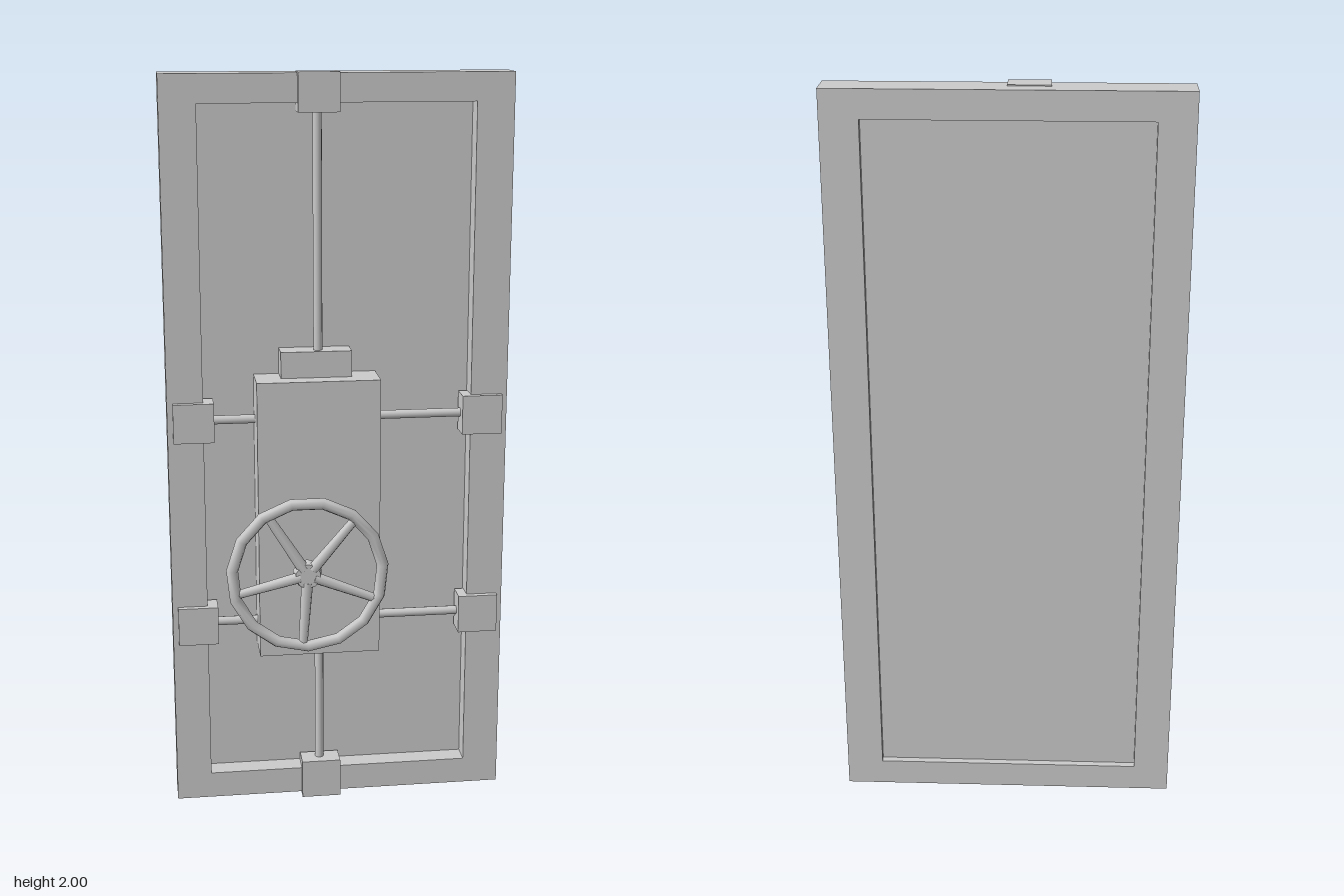
import * as THREE from 'three';

const mat = new THREE.MeshStandardMaterial({ color: 0xcccccc });

export function createModel() {
  const door = new THREE.Group();
  door.name = 'vaultDoor';

  const add = (name, geo, parent = door) => {
    const m = new THREE.Mesh(geo, mat);
    m.name = name;
    parent.add(m);
    return m;
  };
  // Box given by its min and max corners
  const box = (name, x0, x1, y0, y1, z0, z1) =>
    add(name, new THREE.BoxGeometry(x1 - x0, y1 - y0, z1 - z0))
      .position.set((x0 + x1) / 2, (y0 + y1) / 2, (z0 + z1) / 2);
  // Cylinder between two points, r0 at the start and r1 at the end
  const rod = (name, a, b, r0, r1 = r0, parent = door, sides = 12) => {
    const from = new THREE.Vector3(...a), dir = new THREE.Vector3(...b).sub(from);
    const m = add(name, new THREE.CylinderGeometry(r1, r0, dir.length(), sides), parent);
    m.position.copy(from).addScaledVector(dir, 0.5);
    m.quaternion.setFromUnitVectors(new THREE.Vector3(0, 1, 0), dir.normalize());
  };
  const rect = (path, x0, x1, y0, y1) =>
    path.moveTo(x0, y0).lineTo(x1, y0).lineTo(x1, y1).lineTo(x0, y1).closePath();

  // Frame with a rectangular opening, closed by a thin recessed panel
  const outline = rect(new THREE.Shape(), -0.455, 0.455, 0.01, 1.997);
  outline.holes.push(rect(new THREE.Path(), -0.36, 0.357, 0.083, 1.923));
  add('frame', new THREE.ExtrudeGeometry(outline, { depth: 0.092, bevelEnabled: false }))
    .position.z = -0.1;
  box('panel', -0.362, 0.359, 0.081, 1.925, -0.081, -0.066);

  // Lock housing with the small block on top
  box('lockHousing', -0.222, 0.105, 0.45, 1.213, -0.07, 0.044);
  box('housingCap', -0.154, 0.034, 1.21, 1.283, -0.07, -0.004);

  // Vertical bolts
  const boltX = -0.053, boltZ = -0.03, boltR = 0.012;
  rod('topBolt', [boltX, 1.27, boltZ], [boltX, 1.92, boltZ], boltR);
  rod('bottomBolt', [boltX, 0.46, boltZ], [boltX, 0.09, boltZ], boltR);
  box('topClamp', -0.105, 0.002, 1.9, 2.0, -0.055, 0.008);
  box('bottomClamp', -0.105, 0.002, 0, 0.108, -0.055, 0.008);

  // Side bolts, two on each side
  for (const y of [1.1, 0.53]) {
    for (const [side, s, inner] of [['left', 1, 0.1], ['right', -1, -0.21]]) {
      rod(side + 'Bolt', [inner, y, boltZ], [s * 0.37, y, boltZ], boltR);
      const xc = s * 0.386;
      box(side + 'Clamp', xc - 0.054, xc + 0.054, y - 0.053, y + 0.053, -0.055, 0.008);
    }
  }

  // Handwheel
  const wheel = new THREE.Group();
  wheel.name = 'handwheel';
  wheel.position.set(-0.095, 0.692, 0.08);
  door.add(wheel);
  add('rim', new THREE.TorusGeometry(0.203, 0.016, 8, 15), wheel).rotation.z = Math.PI / 30;
  rod('shaft', [0, 0, -0.045], [0, 0, 0], 0.018, 0.018, wheel);
  rod('hub', [0, 0, -0.014], [0, 0, 0.012], 0.04, 0.034, wheel, 10);
  for (let i = 0; i < 5; i++) {
    const a = THREE.MathUtils.degToRad(50 + 72 * i), c = Math.cos(a), s = Math.sin(a);
    rod('spoke', [c * 0.02, s * 0.02, 0], [c * 0.2, s * 0.2, 0], 0.016, 0.012, wheel, 8);
  }
  return door;
}
